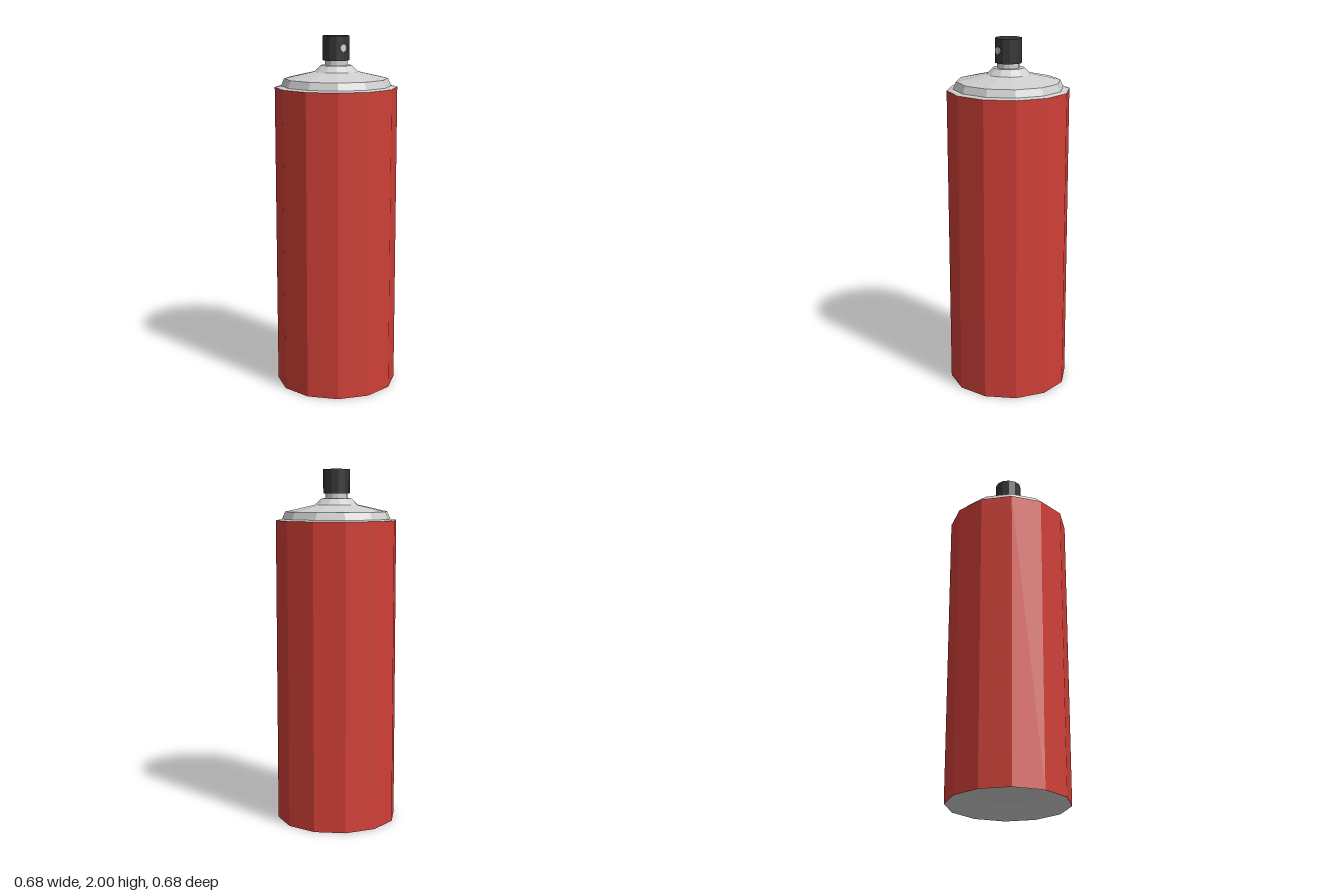
import * as THREE from 'three';

const SIDES = 12;

function material(name, color) {
  const m = new THREE.MeshStandardMaterial({ color, flatShading: true });
  m.name = name;
  return m;
}

// Faceted turned part from [radius, height] pairs, listed from the bottom up
function turned(name, mat, profile) {
  const points = profile.map(([r, y]) => new THREE.Vector2(r, y));
  const mesh = new THREE.Mesh(new THREE.LatheGeometry(points, SIDES), mat);
  mesh.name = name;
  return mesh;
}

export function createModel() {
  const red = material('red paint', 0xcf3f37);
  const metal = material('bare metal', 0xcfcfcf);
  const black = material('black plastic', 0x343434);

  const can = new THREE.Group();
  can.name = 'sprayCan';

  // Painted wall
  can.add(turned('body', red, [[0.342, 0], [0.342, 1.717]]));

  // Recessed underside
  can.add(turned('base', metal, [[0, 0.065], [0.18, 0.06], [0.342, 0]]));

  // Shoulder ledge, crimped rim, sloping dome and valve cup
  can.add(turned('dome', metal, [
    [0.342, 1.717], [0.307, 1.724], [0.29, 1.765], [0.122, 1.803], [0.086, 1.838], [0, 1.838],
  ]));

  // Valve stem under the button
  can.add(turned('valveStem', metal, [[0.062, 1.835], [0.062, 1.87]]));

  // Spray button
  can.add(turned('sprayButton', black, [[0, 1.865], [0.075, 1.865], [0.075, 2], [0, 2]]));

  // Spray outlet on the front of the button
  const outlet = new THREE.Mesh(new THREE.CylinderGeometry(0.021, 0.021, 0.009, 8), metal);
  outlet.name = 'sprayOutlet';
  outlet.rotation.x = Math.PI / 2;
  outlet.position.set(0, 1.935, 0.0725);
  can.add(outlet);

  return can;
}
